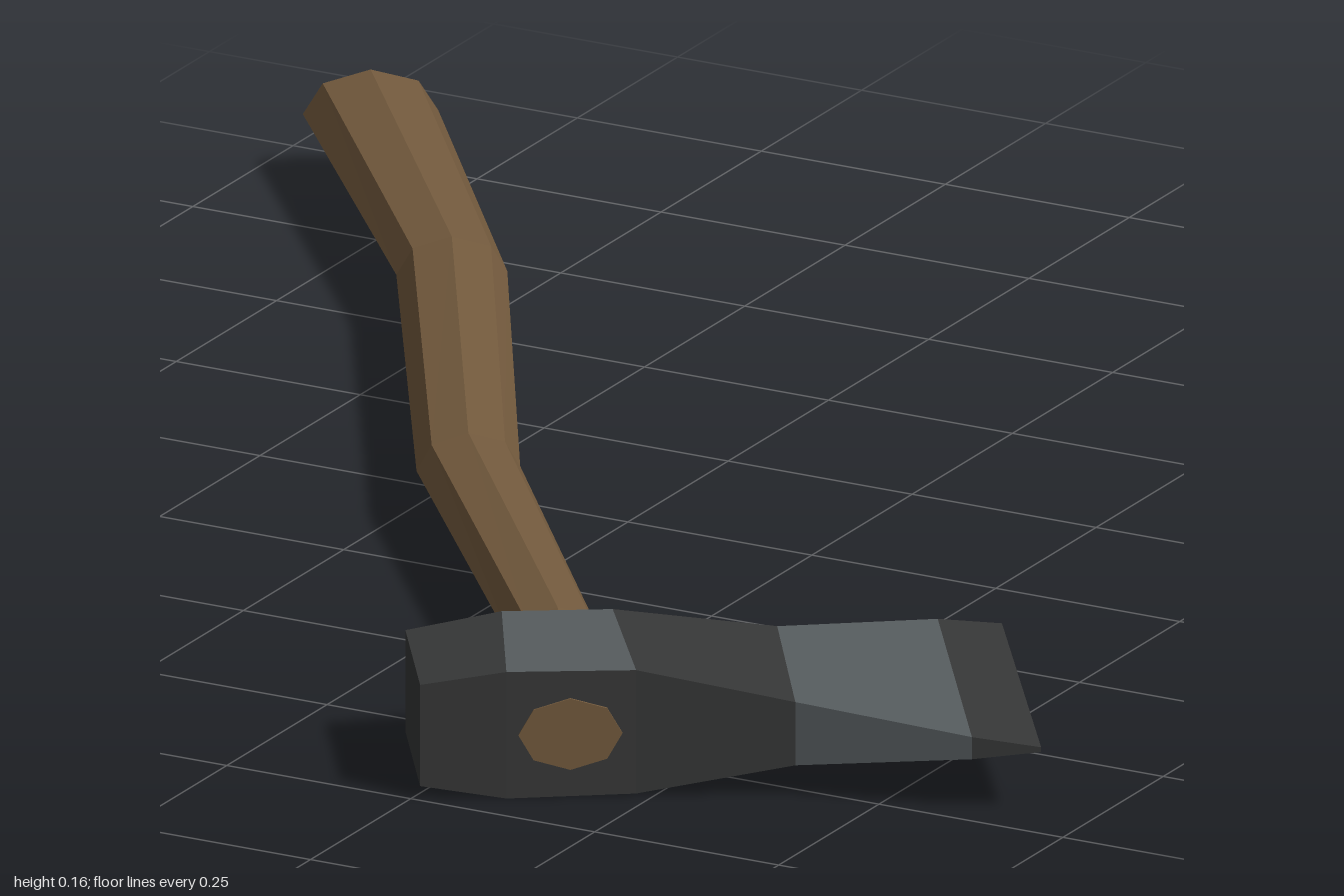
import * as THREE from 'three';

const MID_Y = 0.08;

// Skin rings of points; pick(segment, side) returns a material index. Both ends are capped.
function loft(rings, pick, cap) {
  const buckets = [[], []];
  const tri = (m, ...pts) => pts.forEach((p) => buckets[m].push(...p));
  const n = rings[0].length;
  for (let i = 0; i < rings.length - 1; i++) {
    for (let j = 0; j < n; j++) {
      const k = (j + 1) % n;
      const a = rings[i][j], b = rings[i][k], c = rings[i + 1][k], d = rings[i + 1][j];
      tri(pick(i, j), a, b, c);
      tri(pick(i, j), a, c, d);
    }
  }
  const first = rings[0], last = rings[rings.length - 1];
  for (let j = 1; j < n - 1; j++) {
    tri(cap, first[0], first[j + 1], first[j]);
    tri(cap, last[0], last[j], last[j + 1]);
  }
  const geo = new THREE.BufferGeometry();
  geo.setAttribute('position', new THREE.Float32BufferAttribute(buckets.flat(), 3));
  geo.addGroup(0, buckets[0].length / 3, 0);
  geo.addGroup(buckets[0].length / 3, buckets[1].length / 3, 1);
  geo.computeVertexNormals();
  return geo;
}

// Cross-section between plan points p and q with half height h, from unit outline points.
function ring([px, pz, qx, qz, h], outline) {
  return outline.map(([u, v]) => [
    (px + qx) / 2 + ((qx - px) / 2) * u,
    MID_Y + h * v,
    (pz + qz) / 2 + ((qz - pz) / 2) * u,
  ]);
}

export function createModel() {
  const wood = new THREE.MeshStandardMaterial({ color: 0x735a3d });
  wood.name = 'wood';
  const darkSteel = new THREE.MeshStandardMaterial({ color: 0x373838 });
  darkSteel.name = 'darkSteel';
  const lightSteel = new THREE.MeshStandardMaterial({ color: 0x565c5e });
  lightSteel.name = 'lightSteel';
  for (const m of [wood, darkSteel, lightSteel]) m.flatShading = true;

  const group = new THREE.Group();
  group.name = 'axe';

  // Curved octagonal handle, running from the butt through the eye of the head
  const octagon = Array.from({ length: 8 }, (_, i) => [
    Math.cos((i * Math.PI) / 4), Math.sin((i * Math.PI) / 4),
  ]);
  const handleSections = [
    [-0.935, -0.905, -0.80, -0.995, 0.054],
    [-0.56, -0.45, -0.45, -0.525, 0.046],
    [-0.20, 0.16, -0.10, 0.085, 0.045],
    [0.20, 0.655, 0.285, 0.585, 0.044],
    [0.363, 0.939, 0.468, 0.872, 0.045],
  ];
  const handle = new THREE.Mesh(
    loft(handleSections.map((s) => ring(s, octagon)), () => 0, 0), [wood, wood]);
  handle.name = 'handle';
  group.add(handle);

  // Wedge-shaped head from poll to cutting edge: front corner, back corner, half height
  const rectangle = [[1, 1], [-1, 1], [-1, -1], [1, -1]];
  const headSections = [
    [0.26, 0.995, 0.15, 0.83, 0.064],
    [0.35, 0.945, 0.24, 0.755, 0.08],
    [0.48, 0.86, 0.35, 0.68, 0.078],
    [0.65, 0.775, 0.50, 0.545, 0.04],
    [0.86, 0.72, 0.62, 0.365, 0.014],
    [0.935, 0.685, 0.68, 0.315, 0.003],
  ];
  // Steel tone per segment for the top, front, bottom and back sides (1 = light)
  const tones = ['01010', '00010', '01010', '11110'];
  const head = new THREE.Mesh(
    loft(headSections.map((s) => ring(s, rectangle)), (i, j) => Number(tones[j][i]), 0),
    [darkSteel, lightSteel]);
  head.name = 'axeHead';
  group.add(head);

  return group;
}
